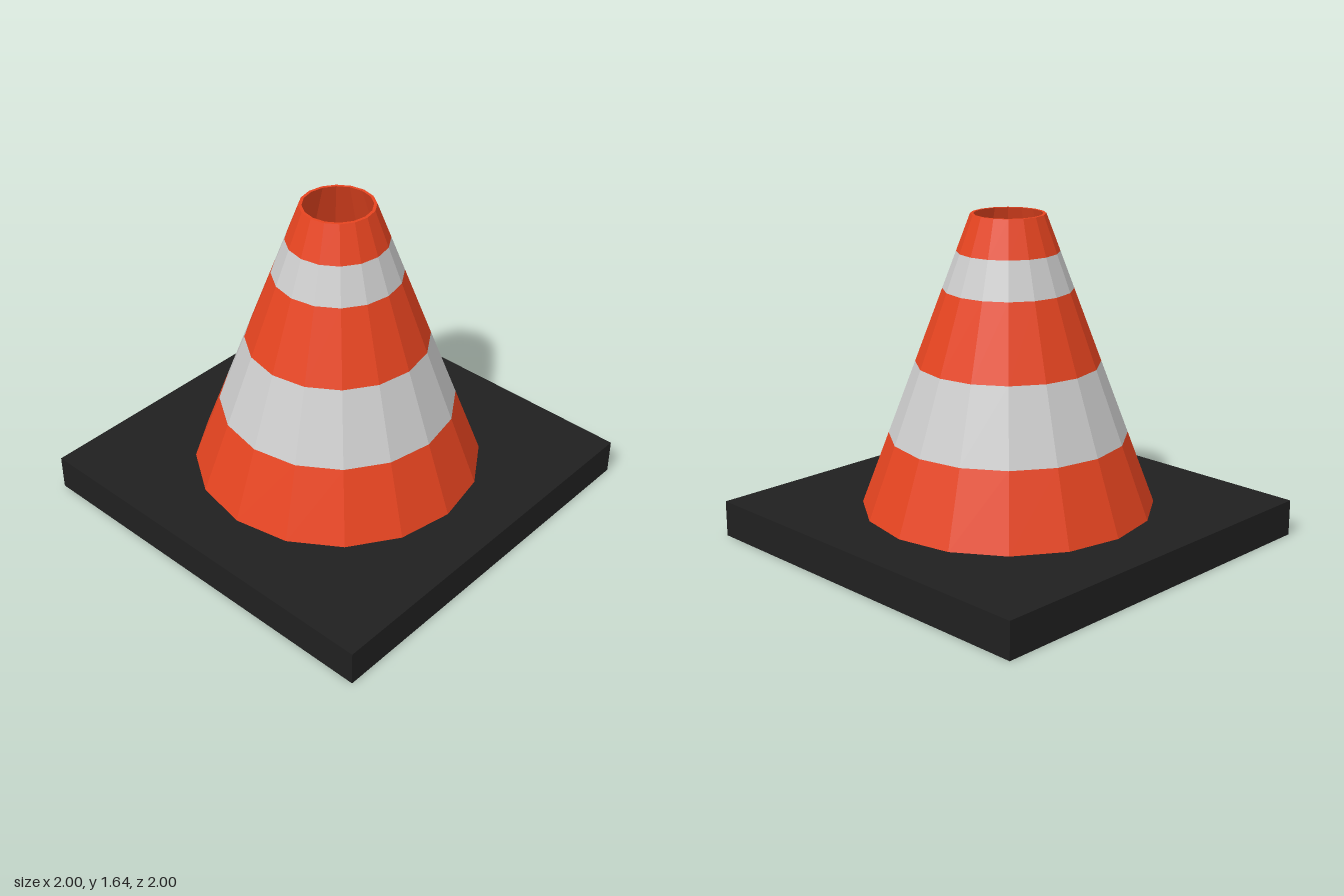
import * as THREE from 'three';

const SIDES = 16;
const BASE_H = 0.182, TOP = 1.636;
const R_BOTTOM = 0.727, R_TOP = 0.182, WALL = 0.015;

// Outer radius of the cone at a given height
const radiusAt = (y) => THREE.MathUtils.mapLinear(y, BASE_H, TOP, R_BOTTOM, R_TOP);

export function createModel() {
  const group = new THREE.Group();
  const paint = (color) => new THREE.MeshStandardMaterial({ color, flatShading: true });
  const orange = paint(0xe64420);
  const white = paint(0xcccccc);
  const black = paint(0x202020);

  const add = (name, geometry, material) => {
    const mesh = new THREE.Mesh(geometry, material);
    mesh.name = name;
    group.add(mesh);
    return mesh;
  };

  // Square foot plate
  add('base', new THREE.BoxGeometry(2, BASE_H, 2), black).position.y = BASE_H / 2;

  // Stacked bands of the cone, alternating orange and white
  const levels = [BASE_H, 0.545, 0.909, 1.273, 1.455, TOP];
  const names = ['lowerBand', 'wideStripe', 'middleBand', 'narrowStripe', 'topBand'];
  names.forEach((name, i) => {
    const y0 = levels[i], y1 = levels[i + 1];
    const band = new THREE.CylinderGeometry(radiusAt(y1), radiusAt(y0), y1 - y0, SIDES, 1, true);
    add(name, band, i % 2 ? white : orange).position.y = (y0 + y1) / 2;
  });

  // Top rim and hollow inside wall, running down to the base
  const lining = [
    new THREE.Vector2(R_TOP, TOP),
    new THREE.Vector2(R_TOP - WALL, TOP),
    new THREE.Vector2(R_BOTTOM - WALL, BASE_H),
  ];
  add('rimAndInnerWall', new THREE.LatheGeometry(lining, SIDES), orange);

  return group;
}
